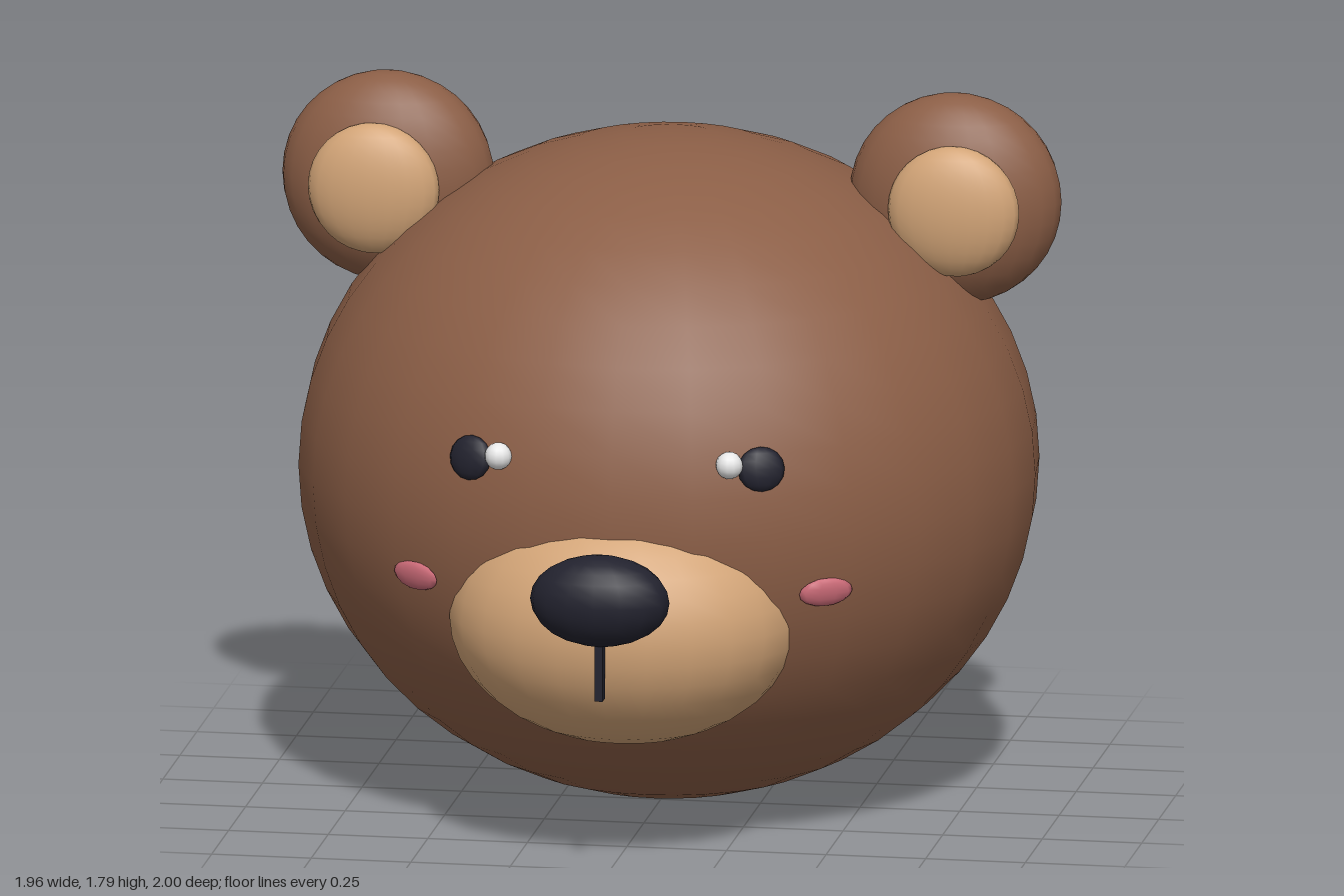
import * as THREE from 'three';

const mat = (name, color) => {
  const m = new THREE.MeshStandardMaterial({ color });
  m.name = name;
  return m;
};

export function createModel() {
  const brown = mat('brown fur', 0x8b5e46);
  const tan = mat('tan fur', 0xd2a477);
  const black = mat('soft black', 0x22222e);
  const pink = mat('blush pink', 0xcc6b78);
  const white = mat('white', 0xffffff);

  const bear = new THREE.Group();
  bear.name = 'bearHead';

  // Ellipsoid with radii r, centred at p, turned by yaw about y and pitch about x
  const blob = (name, material, r, p, segs, yaw = 0, pitch = 0) => {
    const mesh = new THREE.Mesh(new THREE.SphereGeometry(1, segs[0], segs[1]), material);
    mesh.name = name;
    mesh.scale.set(...r);
    mesh.position.set(...p);
    mesh.rotation.set(pitch, yaw, 0, 'YXZ');
    bear.add(mesh);
  };

  // Head, muzzle and nose
  blob('head', brown, [0.92, 0.835, 0.88], [0, 0.835, -0.12], [28, 24]);
  blob('muzzle', tan, [0.44, 0.32, 0.355], [0, 0.6, 0.53], [24, 18]);
  blob('nose', black, [0.175, 0.115, 0.1], [0, 0.723, 0.9], [16, 12]);

  // Mouth line hanging below the nose
  const mouth = new THREE.Mesh(new THREE.BoxGeometry(0.02, 0.18, 0.034), black);
  mouth.name = 'mouthLine';
  mouth.position.set(0, 0.56, 0.901);
  bear.add(mouth);

  // Mirrored parts
  for (const [side, s] of [['left', 1], ['right', -1]]) {
    blob(side + 'Ear', brown, [0.266, 0.266, 0.147], [s * 0.712, 1.522, -0.165], [24, 18]);
    blob(side + 'InnerEar', tan, [0.165, 0.165, 0.07], [s * 0.728, 1.518, -0.04], [20, 16]);
    blob(side + 'Eye', black, [0.06, 0.056, 0.024], [s * 0.365, 1.016, 0.664], [10, 8], s * 0.4, -0.2);
    blob(side + 'EyeHighlight', white, [0.034, 0.034, 0.034], [s * 0.29, 1.03, 0.694], [12, 10]);
    blob(side + 'Cheek', pink, [0.072, 0.037, 0.016], [s * 0.515, 0.692, 0.592], [10, 8], s * 0.58, 0.18);
  }
  return bear;
}
